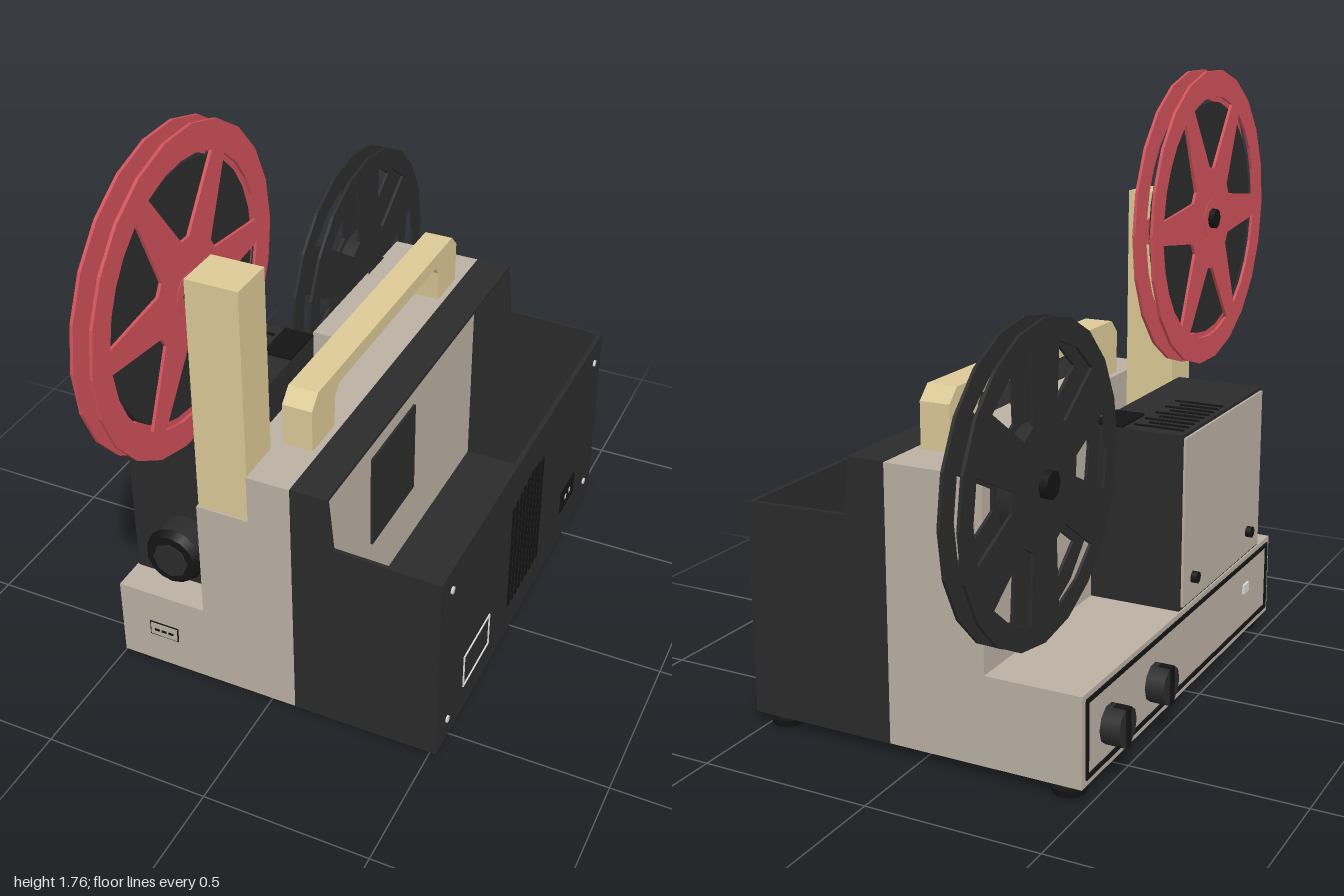
import * as THREE from 'three';

const mat = (name, color) => {
  const m = new THREE.MeshStandardMaterial({ color });
  m.name = name;
  return m;
};

export function createModel() {
  const root = new THREE.Group();
  const beige = mat('warm beige', 0xbab0a2);
  const dark = mat('charcoal', 0x2b2b2c);
  const black = mat('black', 0x141414);
  const cream = mat('cream', 0xdcc997);
  const red = mat('red', 0xcf525a);
  const white = mat('pale grey', 0xd8d8d4);

  const add = (name, geo, material, parent = root) => {
    const m = new THREE.Mesh(geo, material);
    m.name = name;
    parent.add(m);
    return m;
  };
  // box from its limits on each axis
  const box = (name, x0, x1, y0, y1, z0, z1, material, parent) => {
    const m = add(name, new THREE.BoxGeometry(x1 - x0, y1 - y0, z1 - z0), material, parent);
    m.position.set((x0 + x1) / 2, (y0 + y1) / 2, (z0 + z1) / 2);
    return m;
  };
  // cylinder along an axis
  const cyl = (name, r0, r1, len, sides, axis, pos, material, parent) => {
    const g = new THREE.CylinderGeometry(r0, r1, len, sides);
    if (axis === 'x') g.rotateZ(-Math.PI / 2);
    if (axis === 'z') g.rotateX(Math.PI / 2);
    const m = add(name, g, material, parent);
    m.position.set(...pos);
    return m;
  };
  const shapeOf = pts => new THREE.Shape(pts.map(p => new THREE.Vector2(...p)));
  const extrude = (shape, depth) => new THREE.ExtrudeGeometry(shape, { depth, bevelEnabled: false });
  // profile drawn in (z, y), extruded along x and centred on x = 0
  const extrudeX = (shape, depth) => extrude(shape, depth).rotateY(-Math.PI / 2).translate(depth / 2, 0, 0);
  // hollow rectangle on a side wall
  const frame = (name, x, y0, y1, z0, z1, w, material) => {
    const s = shapeOf([[z0, y0], [z1, y0], [z1, y1], [z0, y1]]);
    s.holes.push(shapeOf([[z0 + w, y0 + w], [z0 + w, y1 - w], [z1 - w, y1 - w], [z1 - w, y0 + w]]));
    add(name, extrudeX(s, 0.006), material).position.x = x;
  };

  // beige body
  box('baseLedge', -0.48, -0.2, 0.04, 0.29, -0.74, 0.62, beige);
  box('bodyCore', -0.2, 0.09, 0.04, 0.67, -0.74, 0.62, beige);
  box('bodyRidge', -0.04, 0.09, 0.67, 0.82, -0.74, 0.62, beige);
  box('rearBlock', -0.2, -0.04, 0.67, 0.82, -0.74, -0.11, beige);

  // dark hollow side compartment with a stepped outline
  const endShape = shapeOf([[0.09, 0.035], [0.53, 0.035], [0.53, 0.65], [0.215, 0.66], [0.2, 0.82], [0.09, 0.82]]);
  for (const [name, z] of [['compartmentFront', 0.608], ['compartmentBack', -0.74]])
    add(name, extrude(endShape, 0.012), dark).position.z = z;
  box('compartmentFloor', 0.09, 0.53, 0.035, 0.05, -0.73, 0.61, dark);
  box('compartmentSide', 0.515, 0.53, 0.035, 0.65, -0.74, 0.62, dark);
  box('compartmentTopStrip', 0.09, 0.2, 0.812, 0.822, -0.74, 0.62, dark);
  box('innerPanel', 0.09, 0.098, 0.25, 0.57, -0.22, 0.1, dark);
  box('underPlate', -0.48, 0.09, 0.036, 0.041, -0.74, 0.62, beige);

  // side wall details
  for (let i = 0; i < 9; i++) {
    const z = -0.19 + i * 0.031;
    box('ventSlot', 0.529, 0.534, 0.14, 0.54 - Math.abs(i - 3) * 0.006, z, z + 0.015, black);
  }
  frame('labelFrame', 0.531, 0.125, 0.24, 0.23, 0.43, 0.004, white);
  frame('socketFrame', 0.531, 0.15, 0.23, -0.54, -0.41, 0.012, black);
  box('socketFace', 0.529, 0.533, 0.165, 0.215, -0.52, -0.43, black);
  for (const z of [-0.455, -0.495]) box('socketPin', 0.53, 0.535, 0.18, 0.195, z - 0.006, z + 0.006, white);
  for (const z of [0.545, -0.665]) for (const y of [0.105, 0.58])
    cyl('screw', 0.011, 0.011, 0.006, 10, 'x', [0.532, y, z], white);

  // lamp and lens housing
  box('lensHousing', -0.475, -0.2, 0.29, 0.805, -0.11, 0.52, dark);
  box('housingCover', -0.482, -0.474, 0.3, 0.795, -0.1, 0.51, beige);
  box('housingRaisedPlate', -0.295, -0.2, 0.805, 0.812, -0.11, 0.04, black);
  for (let i = 0; i < 9; i++)
    box('topVent', -0.46, i % 2 ? -0.34 : -0.31, 0.804, 0.809, -0.07 + i * 0.037, -0.06 + i * 0.037, black);
  const lens = [-0.3, 0.44];
  cyl('lensBarrel', 0.09, 0.09, 0.07, 14, 'z', [...lens, 0.555], dark);
  cyl('lensRing', 0.078, 0.09, 0.025, 14, 'z', [...lens, 0.602], black);
  cyl('lensGlass', 0.055, 0.055, 0.006, 8, 'z', [...lens, 0.617], dark);
  for (const z of [0.41, -0.03]) cyl('coverScrew', 0.018, 0.018, 0.02, 8, 'x', [-0.49, 0.37, z], black);

  // control panel on the ledge
  frame('controlPanelFrame', -0.482, 0.055, 0.275, -0.72, 0.6, 0.012, black);
  for (const z of [-0.585, -0.3]) {
    cyl('controlKnob', 0.055, 0.055, 0.055, 10, 'x', [-0.508, 0.155, z], dark);
    box('knobGrip', -0.54, -0.5, 0.1, 0.21, z - 0.012, z + 0.012, black);
  }
  box('controlSwitch', -0.487, -0.48, 0.17, 0.2, 0.39, 0.43, white);
  // front socket plate
  box('frontPlateEdge', -0.385, -0.29, 0.135, 0.185, 0.619, 0.622, black);
  box('frontPlate', -0.381, -0.294, 0.139, 0.181, 0.62, 0.624, beige);
  for (const x of [-0.36, -0.337, -0.314]) box('frontPin', x - 0.008, x + 0.008, 0.156, 0.163, 0.622, 0.626, black);

  // reel arm and carrying handle
  box('reelArm', -0.195, -0.04, 0.67, 1.39, 0.475, 0.615, cream);
  const handle = shapeOf([[0.44, 0.815], [0.44, 0.95], [0.4, 0.99], [-0.55, 0.99], [-0.59, 0.95], [-0.59, 0.815],
    [-0.45, 0.815], [-0.44, 0.92], [-0.42, 0.945], [0.27, 0.945], [0.295, 0.92], [0.305, 0.815]]);
  add('handle', extrudeX(handle, 0.09), cream).position.x = 0.025;

  // reels: two pierced flanges, film or core, hub and spindle
  const polar = (r, a) => [r * Math.cos(a), r * Math.sin(a)];
  const flange = (R, sides, hole) => {
    const s = shapeOf(Array.from({ length: sides }, (_, i) => polar(R, i / sides * Math.PI * 2)));
    for (let i = 0; i < 6; i++) s.holes.push(shapeOf(hole(i * Math.PI / 3)));
    return extrudeX(s, 0.009);
  };
  const starHole = a0 => {
    const a = a0 + Math.PI / 6;
    return [polar(0.155, a - 0.12), ...[-0.43, -0.2, 0, 0.2, 0.43].map(d => polar(0.37, a + d)), polar(0.155, a + 0.12)];
  };
  const windowHole = a => [polar(0.18, a - 0.16), ...[-0.31, 0, 0.31].map(d => polar(0.37, a + d)), polar(0.18, a + 0.16)];
  const reel = (name, y, z, R, sides, hole, material) => {
    const g = new THREE.Group();
    g.name = name;
    g.position.set(-0.253, y, z);
    root.add(g);
    for (const x of [-0.027, 0.027]) add('flange', flange(R, sides, hole), material, g).position.x = x;
    return g;
  };
  const front = reel('supplyReel', 1.31, 0.55, 0.45, 22, starHole, red);
  cyl('film', 0.355, 0.355, 0.042, 28, 'x', [0, 0, 0], dark, front);
  cyl('hubCap', 0.06, 0.06, 0.066, 12, 'x', [0, 0, 0], red, front);
  cyl('spindle', 0.03, 0.03, 0.15, 8, 'x', [0.025, 0, 0], black, front);
  const rear = reel('takeUpReel', 0.765, -0.56, 0.435, 20, windowHole, dark);
  rear.rotation.x = 0;
  cyl('core', 0.16, 0.16, 0.05, 18, 'x', [0, 0, 0], dark, rear);
  cyl('hub', 0.085, 0.05, 0.03, 10, 'x', [0.045, 0, 0], dark, rear);
  cyl('spindle', 0.04, 0.04, 0.11, 8, 'x', [0, 0, 0], black, rear);

  // rubber feet
  for (const x of [-0.42, 0.46]) for (const z of [0.55, -0.69]) {
    cyl('foot', 0.05, 0.045, 0.02, 12, 'y', [x, 0.01, z], black);
    cyl('footStem', 0.03, 0.03, 0.03, 10, 'y', [x, 0.028, z], dark);
  }
  return root;
}
